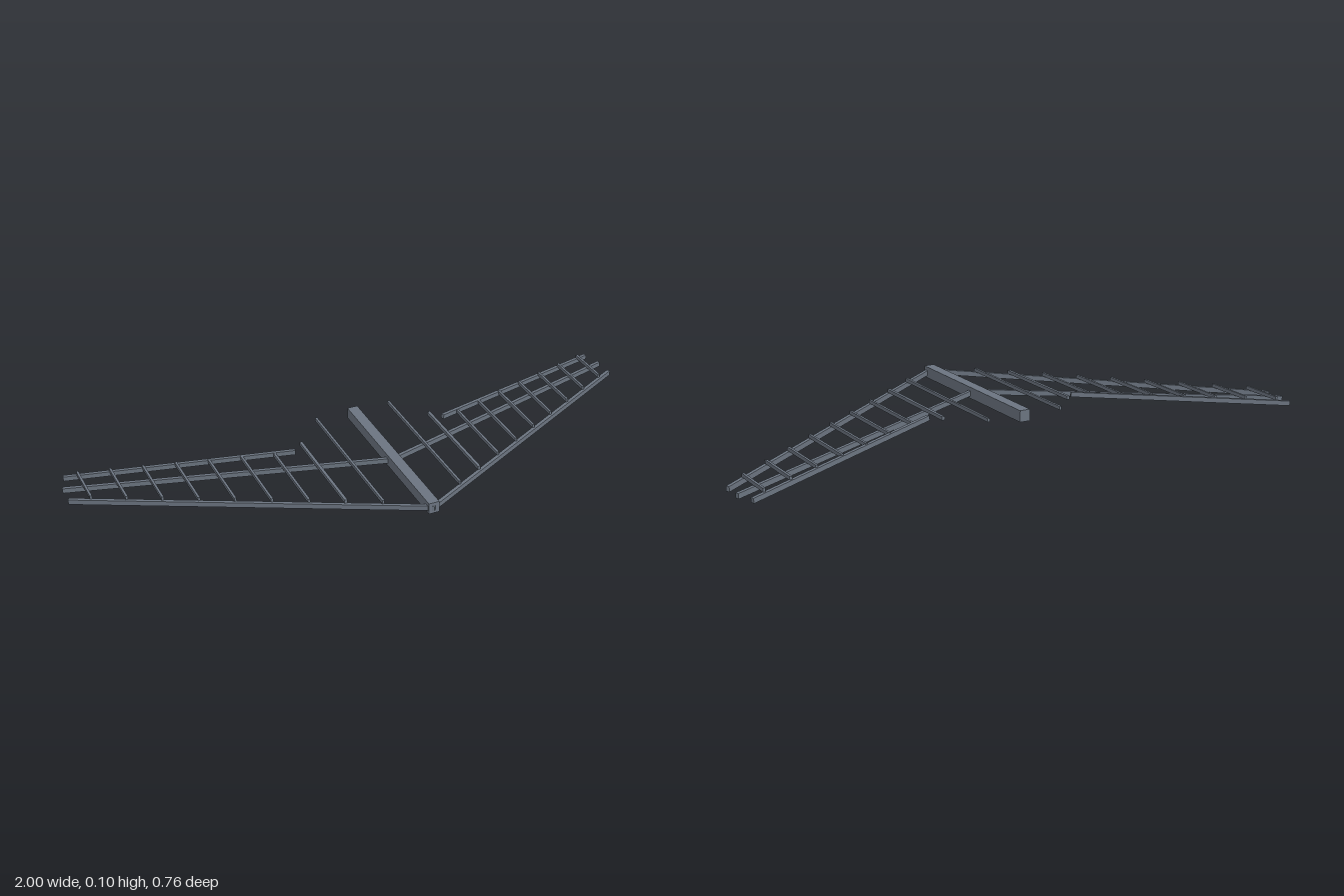
import * as THREE from 'three';

const material = new THREE.MeshStandardMaterial({ color: 0x6b7480, flatShading: true });

// Straight square-cut bar between two points
function bar(name, from, to, width, height) {
  const a = new THREE.Vector3(...from), b = new THREE.Vector3(...to);
  const mesh = new THREE.Mesh(new THREE.BoxGeometry(width, height, a.distanceTo(b)), material);
  mesh.name = name;
  mesh.position.copy(a).add(b).multiplyScalar(0.5);
  mesh.lookAt(b);
  return mesh;
}

export function createModel() {
  const model = new THREE.Group();
  model.name = 'gliderFrame';

  // Central keel beam
  model.add(bar('keel', [0, 0.084, -0.257], [0, 0.084, 0.375], 0.036, 0.038));

  for (const s of [1, -1]) {
    const wing = new THREE.Group();
    wing.name = s > 0 ? 'leftWing' : 'rightWing';

    // Swept, drooping spars
    wing.add(bar('leadingSpar', [0, 0.083, 0.372], [s * 0.997, 0.0095, -0.24], 0.012, 0.017));
    wing.add(bar('middleSpar', [0, 0.083, 0.07], [s * 0.997, 0.0095, -0.31], 0.012, 0.017));
    wing.add(bar('trailingSpar', [s * 0.267, 0.08, -0.11], [s * 0.977, 0.0115, -0.374], 0.012, 0.016));

    // Ribs lying on the spars, from the leading to the trailing edge
    for (let i = 0; i < 9; i++) {
      const x = 0.133 + 0.1 * i;
      const y = 0.099 - 0.0735 * x;
      const front = 0.37 - 0.612 * x;
      const back = i === 0 ? -0.257 : i === 1 ? -0.147 : -0.11 - 0.374 * (x - 0.27);
      wing.add(bar('rib', [s * x, y, back], [s * x, y, front], i === 1 ? 0.01 : 0.008, 0.012));
    }
    model.add(wing);
  }
  return model;
}
